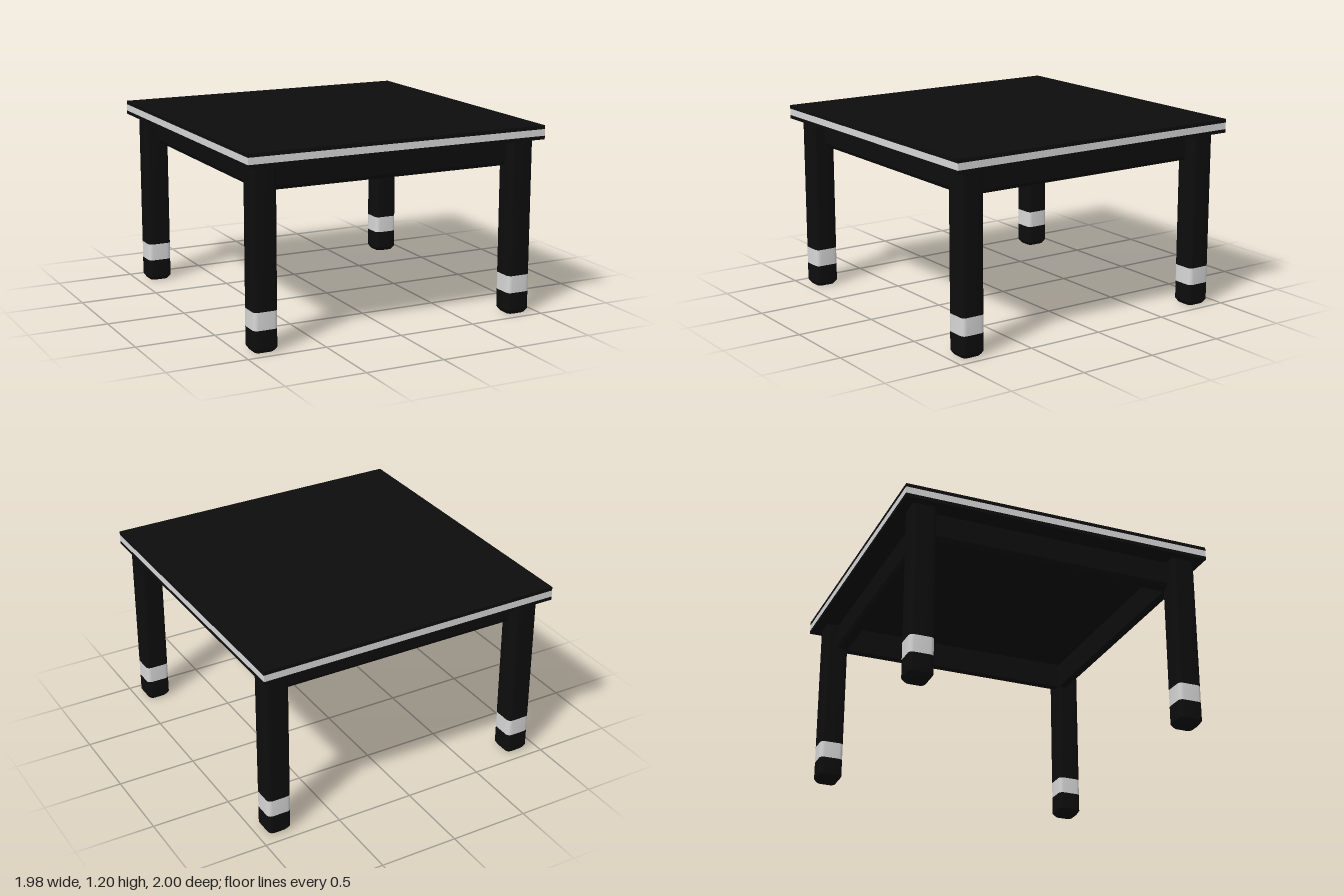
import * as THREE from 'three';
import { toCreasedNormals } from 'three/addons/utils/BufferGeometryUtils.js';

const black = new THREE.MeshStandardMaterial({ color: 0x0d0d0d });
black.name = 'black lacquer';
const silver = new THREE.MeshStandardMaterial({ color: 0xd8d8d8 });
silver.name = 'pale metal';

// Outline of a square with rounded corners, counter-clockwise in (x, z)
function roundedSquare(half, radius, steps = 5) {
  const points = [];
  for (let corner = 0; corner < 4; corner++) {
    const mid = (corner + 0.5) * Math.PI / 2;
    const cx = Math.sign(Math.cos(mid)) * (half - radius);
    const cz = Math.sign(Math.sin(mid)) * (half - radius);
    for (let i = 0; i <= steps; i++) {
      const a = (corner + i / steps) * Math.PI / 2;
      points.push([cx + radius * Math.cos(a), cz + radius * Math.sin(a)]);
    }
  }
  return points;
}

// Loft through rounded squares given as [y, half width], capped at both ends
function loft(sections) {
  const pos = [], index = [];
  const rings = sections.map(([y, half]) => roundedSquare(half, 0.028).map(([x, z]) => [x, y, z]));
  const n = rings[0].length;
  rings.forEach(ring => ring.forEach(p => pos.push(...p)));
  for (let r = 0; r < rings.length - 1; r++) {
    for (let i = 0; i < n; i++) {
      const a = r * n + i, b = r * n + (i + 1) % n;
      index.push(a, a + n, b, b, a + n, b + n);
    }
  }
  const top = (rings.length - 1) * n;
  for (let i = 1; i < n - 1; i++) {
    index.push(0, i, i + 1);
    index.push(top, top + i + 1, top + i);
  }
  const geo = new THREE.BufferGeometry();
  geo.setAttribute('position', new THREE.Float32BufferAttribute(pos, 3));
  geo.setIndex(index);
  return toCreasedNormals(geo, 0.5);
}

function add(parent, name, geometry, material, x = 0, y = 0, z = 0) {
  const mesh = new THREE.Mesh(geometry, material);
  mesh.name = name;
  mesh.position.set(x, y, z);
  parent.add(mesh);
  return mesh;
}

export function createModel() {
  const table = new THREE.Group();
  table.name = 'table';

  // Table top: three layers with a pale edge stripe between
  const layers = [
    ['topUnderside', 1.11, 1.132, black],
    ['edgeStripe', 1.132, 1.174, silver],
    ['topSurface', 1.174, 1.197, black],
  ];
  for (const [name, y0, y1, material] of layers) {
    add(table, name, new THREE.BoxGeometry(1.975, y1 - y0, 2), material, 0, (y0 + y1) / 2, 0);
  }

  // Legs: bevelled foot, pale band and shaft
  const h = 0.077, offset = 0.005, reach = 0.863;
  const foot = loft([[0, h - 0.017], [0.012, h - 0.008], [0.026, h], [0.14, h]]);
  const band = loft([[0.14, h], [0.25, h]]);
  const shaft = loft([[0.25, h], [1.11, h]]);
  for (const sx of [-1, 1]) {
    for (const sz of [-1, 1]) {
      const leg = new THREE.Group();
      leg.name = (sz > 0 ? 'front' : 'back') + (sx > 0 ? 'Left' : 'Right') + 'Leg';
      leg.position.set(sx * reach + offset, 0, sz * reach + offset);
      add(leg, 'foot', foot, black);
      add(leg, 'band', band, silver);
      add(leg, 'shaft', shaft, black);
      table.add(leg);
    }
  }

  // Aprons: rails between the legs with a chamfered lower outer edge
  const profile = new THREE.Shape([
    [-0.035, 0.94], [0.02, 0.94], [0.035, 0.965], [0.035, 1.11], [-0.035, 1.11],
  ].map(([x, y]) => new THREE.Vector2(x, y)));
  const length = 2 * reach - 0.1;
  const rail = new THREE.ExtrudeGeometry(profile, { depth: length, bevelEnabled: false });
  rail.translate(0, 0, -length / 2);
  ['left', 'back', 'right', 'front'].forEach((side, i) => {
    const a = i * Math.PI / 2;
    const apron = add(table, side + 'Apron', rail, black,
      Math.cos(a) * 0.825 + offset, 0, -Math.sin(a) * 0.825 + offset);
    apron.rotation.y = a;
  });

  return table;
}
